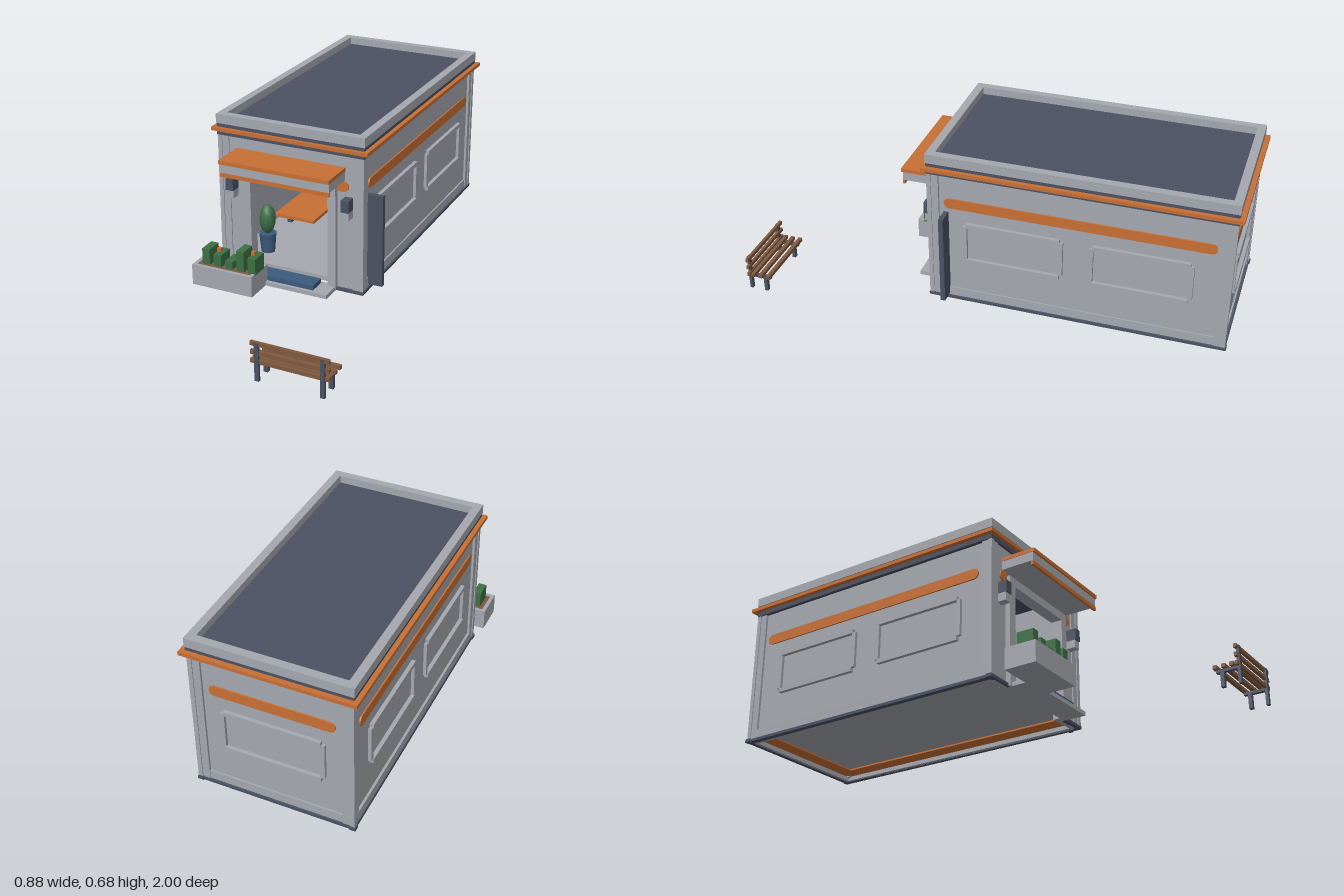
import * as THREE from 'three';

const paint = (name, color) => {
  const m = new THREE.MeshStandardMaterial({ color });
  m.name = name;
  return m;
};

export function createModel() {
  const grey = paint('plaster grey', 0xa4a7ae);
  const slate = paint('slate', 0x4b5162);
  const orange = paint('orange', 0xc86f34);
  const green = paint('hedge green', 0x3b7044);
  const leafGreen = paint('leaf green', 0x38966c);
  const teal = paint('mural teal', 0x0e2d40);
  const blue = paint('blue', 0x3b5a7c);
  const wood = paint('wood', 0x80593f);

  const model = new THREE.Group();
  model.name = 'shop';
  const CX = -0.095; // middle of the building

  const add = (parent, name, geometry, material) => {
    const mesh = new THREE.Mesh(geometry, material);
    mesh.name = name;
    parent.add(mesh);
    return mesh;
  };
  // box given by its limits on each axis
  const box = (parent, name, mat, x0, x1, y0, y1, z0, z1) => {
    const mesh = add(parent, name, new THREE.BoxGeometry(x1 - x0, y1 - y0, z1 - z0), mat);
    mesh.position.set((x0 + x1) / 2, (y0 + y1) / 2, (z0 + z1) / 2);
    return mesh;
  };
  const group = (name, parent = model) => {
    const g = new THREE.Group();
    g.name = name;
    parent.add(g);
    return g;
  };
  // rectangular ring lying flat
  const ring = (parent, name, mat, x0, x1, y0, y1, z0, z1, t) => {
    const g = group(name, parent);
    box(g, name + 'Left', mat, x0, x0 + t, y0, y1, z0, z1);
    box(g, name + 'Right', mat, x1 - t, x1, y0, y1, z0, z1);
    box(g, name + 'Back', mat, x0 + t, x1 - t, y0, y1, z0, z0 + t);
    box(g, name + 'Front', mat, x0 + t, x1 - t, y0, y1, z1 - t, z1);
  };

  // walls, with the door opening at the front
  const walls = group('walls');
  box(walls, 'leftWall', grey, 0.195, 0.215, 0, 0.6, -0.965, 0.245);
  box(walls, 'rightWall', grey, -0.405, -0.385, 0, 0.6, -0.965, 0.245);
  box(walls, 'backWall', grey, -0.385, 0.195, 0, 0.6, -0.965, -0.945);
  box(walls, 'frontWallLeft', grey, 0.085, 0.195, 0, 0.6, 0.225, 0.25);
  box(walls, 'frontWallRight', grey, -0.385, -0.28, 0, 0.6, 0.225, 0.25);
  box(walls, 'frontWallTop', grey, -0.28, 0.085, 0.44, 0.6, 0.225, 0.25);
  box(walls, 'floor', grey, -0.385, 0.195, 0.025, 0.045, -0.945, 0.25);
  box(walls, 'floorEdgeSide', orange, 0.13, 0.195, 0.018, 0.025, -0.945, 0.2);
  box(walls, 'floorEdgeBack', orange, -0.385, 0.13, 0.018, 0.025, -0.945, -0.88);

  // corner posts, each with a stepped pair of faces
  const posts = group('cornerPosts');
  for (const sx of [-1, 1]) for (const sz of [-1, 1]) {
    const px = CX + sx * 0.298, pz = -0.36 + sz * 0.593;
    box(posts, 'cornerPost', grey, px - 0.022, px + 0.022, 0.012, 0.59, pz - 0.022, pz + 0.022);
    const qx = CX + sx * 0.315, qz = -0.36 + sz * 0.61;
    box(posts, 'cornerEdge', grey, qx - 0.009, qx + 0.009, 0.012, 0.59, qz - 0.009, qz + 0.009);
    box(posts, 'cornerFoot', slate, qx - 0.014, qx + 0.01, 0, 0.014, qz - 0.014, qz + 0.01);
  }

  // plinth strips and skirting, open at the doorway
  const base = group('plinth');
  for (const s of [-1, 1]) {
    const x = CX + s * 0.314;
    box(base, 'sidePlinth', slate, x - 0.011, x + 0.011, 0, 0.012, -0.98, 0.26);
    box(base, 'sideSkirting', grey, x - 0.007, x + 0.003, 0.012, 0.05, -0.97, 0.25);
    const f = CX + s * 0.265;
    box(base, 'frontPlinth', slate, f - 0.06, f + 0.06, 0, 0.012, 0.24, 0.262);
  }
  box(base, 'backPlinth', slate, -0.42, 0.23, 0, 0.012, -0.98, -0.96);
  box(base, 'backSkirting', grey, -0.405, 0.215, 0.012, 0.05, -0.972, -0.962);

  // cornice, parapet and roof
  const roof = group('roof');
  box(roof, 'corniceBand', slate, -0.421, 0.231, 0.587, 0.638, -0.98, 0.26);
  ring(roof, 'corniceTrim', orange, -0.44, 0.25, 0.606, 0.621, -1, 0.275, 0.025);
  ring(roof, 'parapet', grey, -0.423, 0.233, 0.636, 0.675, -0.982, 0.262, 0.034);
  box(roof, 'roofDeck', slate, -0.39, 0.2, 0.636, 0.643, -0.95, 0.23);

  // pill-shaped stripe and blank window frames on a wall facing +z
  const stripe = (parent, length) => {
    const r = 0.022, h = length / 2 - r, s = new THREE.Shape();
    s.absarc(h, 0, r, -Math.PI / 2, Math.PI / 2);
    s.absarc(-h, 0, r, Math.PI / 2, Math.PI * 1.5);
    const g = new THREE.ExtrudeGeometry(s, { depth: 0.006, bevelEnabled: false, curveSegments: 6 });
    const m = add(parent, 'wallStripe', g, orange);
    m.position.y = 0.458;
  };
  const frame = (parent, cx) => {
    const g = group('windowFrame', parent);
    for (const s of [-1, 1]) {
      const y = 0.285 + s * 0.085, x = cx + s * 0.2;
      box(g, 'frameRail', grey, cx - 0.195, cx + 0.195, y - 0.009, y + 0.009, 0, 0.016);
      box(g, 'frameStile', grey, x - 0.009, x + 0.009, 0.21, 0.365, 0, 0.013);
    }
  };
  const facade = (name, x, z, turn, length, frames) => {
    const g = group(name);
    g.position.set(x, 0, z);
    g.rotation.y = turn;
    stripe(g, length);
    frames.forEach((c) => frame(g, c));
  };
  facade('leftFacade', 0.215, -0.36, Math.PI / 2, 1.1, [-0.262, 0.262]);
  facade('rightFacade', -0.405, -0.36, -Math.PI / 2, 1.1, [-0.262, 0.262]);
  facade('backFacade', CX, -0.965, Math.PI, 0.5, [0]);
  facade('frontFacade', CX, 0.25, 0, 0.515, []);

  // door surround, awning, lamps and steps
  const entrance = group('entrance');
  box(entrance, 'jambRight', grey, -0.31, -0.27, 0, 0.467, 0.22, 0.27);
  box(entrance, 'jambLeft', grey, 0.077, 0.112, 0, 0.467, 0.22, 0.27);
  box(entrance, 'doorHeader', grey, -0.27, 0.077, 0.432, 0.467, 0.22, 0.27);
  box(entrance, 'awningBody', grey, -0.335, 0.145, 0.485, 0.523, 0.25, 0.393);
  box(entrance, 'awningTop', orange, -0.337, 0.147, 0.522, 0.538, 0.25, 0.4);
  box(entrance, 'awningLip', orange, -0.335, 0.145, 0.468, 0.485, 0.385, 0.395);
  for (const s of [-1, 1]) {
    const x = CX + s * 0.258;
    box(entrance, 'lampCap', slate, x - 0.017, x + 0.017, 0.365, 0.415, 0.25, 0.295);
    box(entrance, 'lampGlass', grey, x - 0.016, x + 0.016, 0.33, 0.365, 0.25, 0.29);
  }
  box(entrance, 'step', grey, -0.3, 0.11, 0, 0.017, 0.25, 0.35);
  box(entrance, 'doormat', blue, -0.235, 0.043, 0.017, 0.036, 0.26, 0.335);
  box(entrance, 'sideBlade', slate, 0.215, 0.283, 0.02, 0.415, 0.173, 0.193);

  // mural on the inner back wall
  const mural = group('mural');
  box(mural, 'muralPanel', teal, -0.36, 0.17, 0.21, 0.5, -0.945, -0.938);
  const leaf = (x, y, rx, ry, tilt) => {
    const s = new THREE.Shape();
    s.absellipse(0, 0, rx, ry, 0, Math.PI * 2, false, tilt);
    add(mural, 'paintedLeaf', new THREE.ShapeGeometry(s, 10), leafGreen).position.set(x, y, -0.935);
  };
  leaf(-0.19, 0.36, 0.024, 0.053, 0.35);
  leaf(0.01, 0.36, 0.03, 0.055, -0.5);
  leaf(-0.088, 0.267, 0.048, 0.034, 0.5);
  const vine = (pts) => {
    const curve = new THREE.CatmullRomCurve3(pts.map(([x, y]) => new THREE.Vector3(x, y, 0)));
    const m = add(mural, 'paintedVine', new THREE.TubeGeometry(curve, 24, 0.008, 5), orange);
    m.scale.z = 0.3;
    m.position.z = -0.935;
  };
  vine([[-0.28, 0.415], [-0.235, 0.375], [-0.19, 0.305], [-0.14, 0.268], [-0.1, 0.29], [-0.07, 0.345]]);
  vine([[-0.02, 0.41], [0.02, 0.402], [0.045, 0.36], [0.08, 0.335]]);

  // furniture inside
  const inside = group('interior');
  box(inside, 'counterTop', grey, -0.165, 0.006, 0.14, 0.155, -0.55, -0.35);
  box(inside, 'counterBody', grey, -0.147, -0.045, 0.045, 0.14, -0.53, -0.37);
  box(inside, 'counterSide', grey, -0.045, -0.008, 0.045, 0.14, -0.52, -0.38);
  box(inside, 'greenJar', green, -0.112, -0.08, 0.155, 0.19, -0.47, -0.43);
  box(inside, 'blueJar', blue, -0.061, -0.045, 0.155, 0.19, -0.46, -0.44);
  for (const [x0, x1] of [[-0.36, -0.17], [0.025, 0.18]]) {
    box(inside, 'benchSeat', orange, x0, x1, 0.086, 0.101, -0.6, -0.1);
    for (const z of [-0.55, -0.17]) box(inside, 'benchLeg', slate, x0 + 0.035, x0 + 0.055, 0.045, 0.086, z, z + 0.02);
  }
  const pot = add(inside, 'plantPot', new THREE.CylinderGeometry(0.038, 0.03, 0.085, 8), blue);
  pot.position.set(-0.265, 0.0875, 0.14);
  const bush = add(inside, 'pottedPlant', new THREE.SphereGeometry(0.04, 10, 8), green);
  bush.scale.set(0.85, 1.65, 0.9);
  bush.position.set(-0.265, 0.193, 0.14);
  const hang = add(inside, 'hangingPot', new THREE.CylinderGeometry(0.027, 0.02, 0.047, 8), grey);
  hang.position.set(-0.036, 0.388, -0.3);
  box(inside, 'hangingPlant', leafGreen, -0.062, -0.045, 0.411, 0.432, -0.31, -0.29);

  // planter with clipped plants
  const planter = group('planter');
  box(planter, 'planterBox', grey, -0.44, -0.165, 0, 0.083, 0.33, 0.465);
  ring(planter, 'planterRim', grey, -0.44, -0.165, 0.083, 0.089, 0.33, 0.465, 0.016);
  box(planter, 'soil', wood, -0.424, -0.181, 0.083, 0.087, 0.346, 0.449);
  [0.155, 0.139, 0.12, 0.175, 0.155].forEach((top, i) => {
    const x = -0.407 + i * 0.0525;
    box(planter, 'clippedPlant', green, x, x + 0.034, 0.085, top, 0.362, 0.435);
    if (i % 3 === 1) box(planter, 'flower', orange, x, x + 0.016, top, top + 0.016, 0.39, 0.406);
  });

  // park bench
  const bench = group('bench');
  for (const y of [0.07, 0.105, 0.14]) box(bench, 'backSlat', wood, 0.128, 0.438, y, y + 0.016, 0.985, 0.997);
  for (const z of [0.895, 0.93, 0.963]) box(bench, 'seatSlat', wood, 0.128, 0.438, 0.071, 0.086, z, z + 0.016);
  for (const x of [0.145, 0.404]) {
    box(bench, 'backLeg', slate, x, x + 0.017, 0, 0.155, 0.988, 1);
    box(bench, 'frontLeg', slate, x, x + 0.017, 0, 0.071, 0.917, 0.932);
    box(bench, 'seatBearer', slate, x, x + 0.017, 0.06, 0.071, 0.9, 0.99);
  }
  return model;
}
